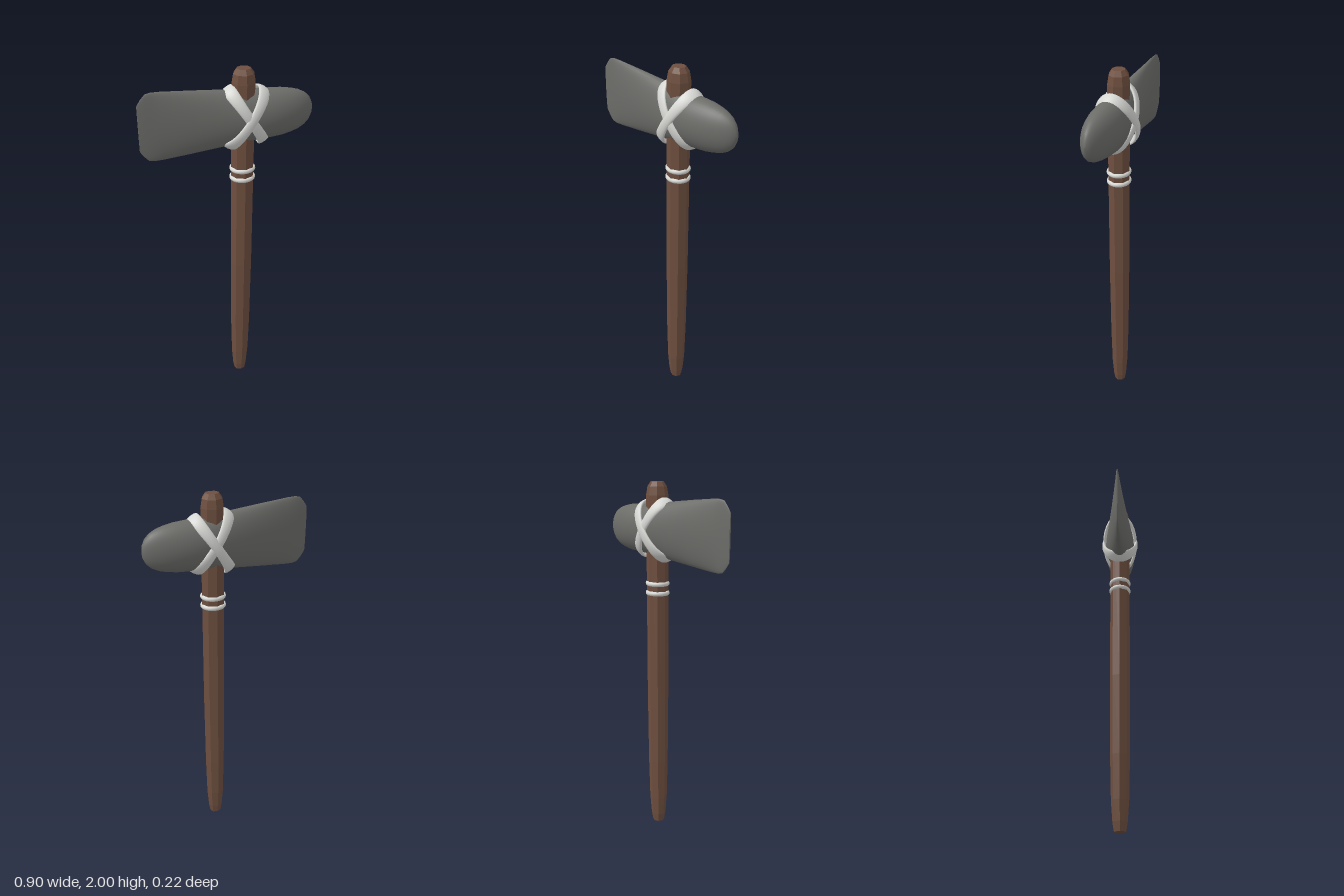
import * as THREE from 'three';

const HANDLE_X = 0.078;
const HEAD_Y = 1.75;

const wood = new THREE.MeshStandardMaterial({ color: 0x6e4f3f });
wood.name = 'brown wood';
const stone = new THREE.MeshStandardMaterial({ color: 0x6c6c69 });
stone.name = 'grey stone';
const cord = new THREE.MeshStandardMaterial({ color: 0xd6d6d3 });
cord.name = 'pale cord';

// Skins a list of closed rings; loop joins the last ring to the first
function loft(rings, loop) {
  const n = rings[0].length;
  const index = [];
  const spans = loop ? rings.length : rings.length - 1;
  for (let i = 0; i < spans; i++) {
    const k = (i + 1) % rings.length;
    for (let j = 0; j < n; j++) {
      const m = (j + 1) % n;
      const a = i * n + j, b = i * n + m, c = k * n + j, d = k * n + m;
      index.push(a, b, c, b, d, c);
    }
  }
  const geo = new THREE.BufferGeometry().setFromPoints(rings.flat());
  geo.setIndex(index);
  geo.computeVertexNormals();
  return geo;
}

function add(group, name, geo, mat) {
  const mesh = new THREE.Mesh(geo, mat);
  mesh.name = name;
  group.add(mesh);
  return mesh;
}

// Faceted eight-sided shaft, tapered at both ends
function handleGeometry() {
  const profile = [
    [0, 0], [0.034, 0], [0.043, 0.05], [0.052, 0.16], [0.058, 0.4], [0.062, 0.85],
    [0.062, 1.93], [0.054, 1.975], [0.036, 2], [0, 2],
  ].map(([r, y]) => new THREE.Vector2(r, y));
  const geo = new THREE.LatheGeometry(profile, 8).scale(1, 1, 0.92).toNonIndexed();
  geo.computeVertexNormals();
  return geo;
}

// Elliptical sections from the thin blade edge to the rounded butt: x, half height, half depth
function headGeometry() {
  const sections = [
    [-0.455, 0, 0], [-0.455, 0.12, 0.004], [-0.455, 0.12, 0.004], [-0.435, 0.15, 0.008],
    [-0.412, 0.175, 0.012], [-0.385, 0.181, 0.016], [-0.34, 0.18, 0.023], [-0.2, 0.168, 0.044],
    [-0.04, 0.152, 0.068], [0.04, 0.144, 0.081], [0.1, 0.138, 0.088], [0.16, 0.133, 0.091],
    [0.22, 0.13, 0.09], [0.28, 0.126, 0.083], [0.33, 0.117, 0.072], [0.37, 0.106, 0.06],
    [0.405, 0.088, 0.045], [0.43, 0.064, 0.03], [0.445, 0.034, 0.015], [0.45, 0, 0],
  ];
  const n = 40;
  return loft(sections.map(([x, h, d]) => Array.from({ length: n }, (_, j) => {
    const a = (j / n) * Math.PI * 2;
    return new THREE.Vector3(x, HEAD_Y + h * Math.cos(a), d * Math.sin(a));
  })), false);
}

// Flattened cord wrapped diagonally round the head
function bandGeometry(topX, bottomX, centreY, b, depth) {
  const cx = (topX + bottomX) / 2, s = (topX - bottomX) / 2;
  const W = new THREE.Vector3(-b, s, 0).normalize();
  const steps = 64, sides = 16, rings = [];
  for (let i = 0; i < steps; i++) {
    const t = (i / steps) * Math.PI * 2, c = Math.cos(t), sn = Math.sin(t);
    const P = new THREE.Vector3(cx + s * c, centreY + b * c, depth * sn);
    const T = new THREE.Vector3(-s * sn, -b * sn, depth * c).normalize();
    const N = new THREE.Vector3().crossVectors(W, T);
    const half = 0.025 + 0.01 * c * c;
    rings.push(Array.from({ length: sides }, (_, j) => {
      const a = (j / sides) * Math.PI * 2;
      return P.clone().addScaledVector(N, 0.011 * Math.cos(a)).addScaledVector(W, half * Math.sin(a));
    }));
  }
  return loft(rings, true);
}

export function createModel() {
  const group = new THREE.Group();
  group.name = 'stoneAxe';

  add(group, 'handle', handleGeometry(), wood).position.x = HANDLE_X;
  add(group, 'stoneHead', headGeometry(), stone);

  // Crossed lashings
  add(group, 'lashingBladeSide', bandGeometry(-0.002, 0.185, 1.757, 0.143, 0.094), cord);
  add(group, 'lashingButtSide', bandGeometry(0.182, -0.008, 1.743, 0.142, 0.099), cord);

  // Cord rings below the head
  [1.408, 1.46].forEach((y, i) => {
    const geo = new THREE.TorusGeometry(0.056, 0.013, 12, 32).rotateX(Math.PI / 2).scale(1, 1, 0.92);
    add(group, 'handleRing' + (i + 1), geo, cord).position.set(HANDLE_X, y, 0);
  });

  return group;
}
